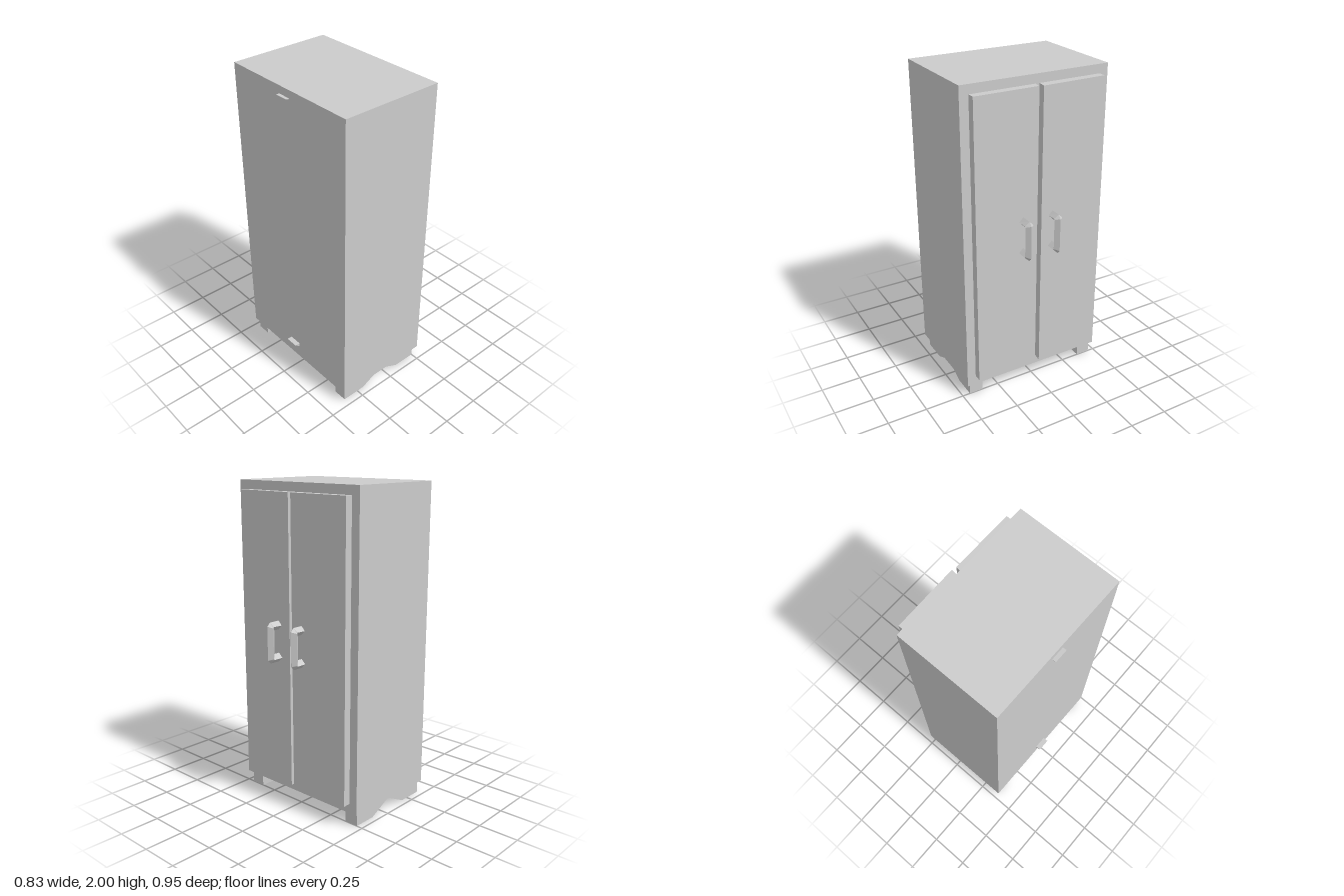
import * as THREE from 'three';

const material = new THREE.MeshStandardMaterial({ color: 0xcccccc, flatShading: true, side: THREE.DoubleSide });

function add(group, name, geometry) {
  const mesh = new THREE.Mesh(geometry, material);
  mesh.name = name;
  group.add(mesh);
  return mesh;
}

function extrude(points, depth) {
  const shape = new THREE.Shape(points.map(([x, y]) => new THREE.Vector2(x, y)));
  return new THREE.ExtrudeGeometry(shape, { depth, bevelEnabled: false });
}

// Door: outline in plan (x, z), raised from y0 to y1
function door(outline, y0, y1) {
  return extrude(outline.map(([x, z]) => [x, -z]), y1 - y0).rotateX(-Math.PI / 2).translate(0, y0, 0);
}

// Handle: diamond section swept round a U, mitred at the chamfered corners
function handleGeometry() {
  const half = 0.0265;
  // each ring: outer ridge, side ridges, inner ridge as (x, y) from the handle's middle
  const upper = [
    [[0.31, 0.127], [0.31, 0.1], [0.31, 0.073]],
    [[0.392, 0.127], [0.385, 0.102], [0.358, 0.073]],
    [[0.414, 0.105], [0.39, 0.095], [0.358, 0.073]],
  ];
  const lower = upper.map((ring) => ring.map(([x, y]) => [x, -y])).reverse();
  const rings = [...upper, ...lower];
  const positions = [];
  for (const [outer, side, inner] of rings) {
    positions.push(...outer, 0, ...side, half, ...inner, 0, ...side, -half);
  }
  const index = [];
  for (let i = 0; i < rings.length - 1; i++) {
    for (let j = 0; j < 4; j++) {
      const a = i * 4 + j, b = i * 4 + (j + 1) % 4;
      index.push(a, b, a + 4, b, b + 4, a + 4);
    }
  }
  // flip winding so faces look outwards
  for (let i = 0; i < index.length; i += 3) [index[i + 1], index[i + 2]] = [index[i + 2], index[i + 1]];
  const geometry = new THREE.BufferGeometry();
  geometry.setAttribute('position', new THREE.Float32BufferAttribute(positions, 3));
  geometry.setIndex(index);
  const flat = geometry.toNonIndexed();
  flat.computeVertexNormals();
  return flat;
}

export function createModel() {
  const group = new THREE.Group();
  group.name = 'cabinet';

  // Body
  add(group, 'body', new THREE.BoxGeometry(0.653, 1.92, 0.948)).position.set(-0.0545, 1.04, -0.001);

  // Doors, the rear one standing very slightly ajar
  add(group, 'rearDoor', door([[0.272, -0.42], [0.32, -0.42], [0.328, -0.011], [0.272, -0.018]], 0.14, 1.945));
  add(group, 'frontDoor', door([[0.272, 0.008], [0.321, 0.016], [0.321, 0.417], [0.272, 0.417]], 0.14, 1.945));

  // Handles
  for (const [name, z] of [['rearHandle', -0.088], ['frontHandle', 0.109]]) {
    add(group, name, handleGeometry()).position.set(0, 1.058, z);
  }

  // Notched feet running under each side
  const footProfile = [
    [-0.36, 0], [-0.2, 0], [-0.05, 0.074], [0.1, 0], [0.25, 0], [0.25, 0.081], [-0.36, 0.081],
  ];
  for (const [name, z] of [['frontFoot', 0.36], ['rearFoot', -0.46]]) {
    add(group, name, extrude(footProfile, 0.09)).position.z = z;
  }

  // Small wedge tabs on the back
  const lowerTab = [[-0.38, 0.17], [-0.38, 0.195], [-0.415, 0.197]];
  const upperTab = [[-0.38, 1.948], [-0.38, 1.952], [-0.405, 1.955]];
  for (const [name, profile] of [['lowerTab', lowerTab], ['upperTab', upperTab]]) {
    add(group, name, extrude(profile, 0.084)).position.z = -0.059;
  }

  return group;
}
